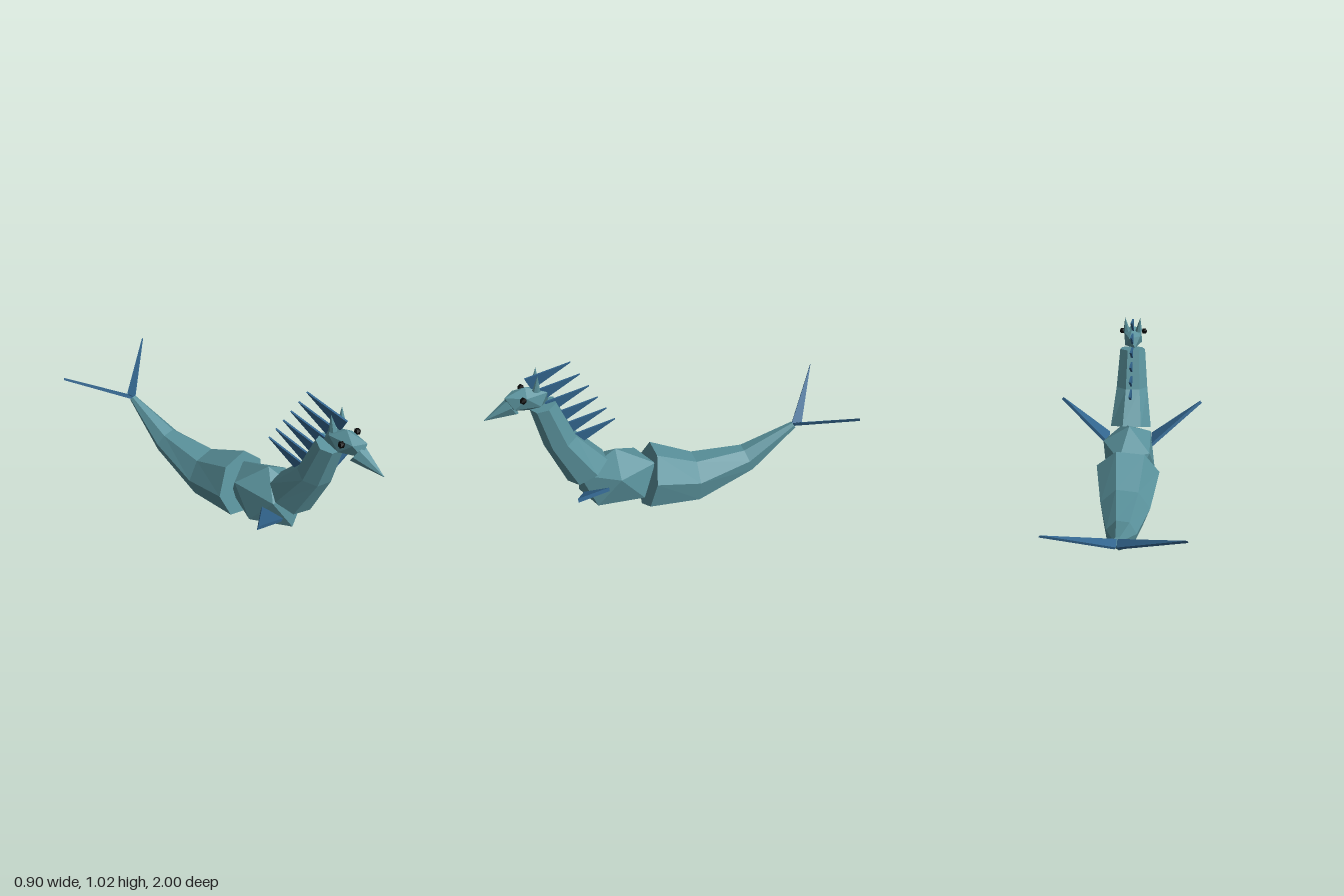
import * as THREE from 'three';
import { ConvexGeometry } from 'three/addons/geometries/ConvexGeometry.js';

const V = (x, y, z) => new THREE.Vector3(x, y, z);

// Seven-sided loft; each ring is [y, z, half width, dy, dz], (dy, dz) reaching from centre to underside
function loft(rings) {
  const N = 7, pos = [], index = [];
  for (const [y, z, rx, dy, dz] of rings) {
    for (let i = 0; i < N; i++) {
      const a = 0.105 + (i / N) * Math.PI * 2;
      pos.push(rx * Math.sin(a), y + dy * Math.cos(a), z + dz * Math.cos(a));
    }
  }
  const last = (rings.length - 1) * N;
  for (let r = 0; r < last; r += N) {
    for (let i = 0; i < N; i++) {
      const j = (i + 1) % N;
      index.push(r + i, r + N + i, r + j, r + j, r + N + i, r + N + j);
    }
  }
  // End caps
  for (let i = 1; i < N - 1; i++) {
    index.push(0, i, i + 1, last, last + i + 1, last + i);
  }
  const g = new THREE.BufferGeometry();
  g.setAttribute('position', new THREE.Float32BufferAttribute(pos, 3));
  g.setIndex(index);
  const flat = g.toNonIndexed();
  flat.computeVertexNormals();
  return flat;
}

// Stretched icosahedron standing on a vertex: apex height ry, five-point rings rx by rz
function ball(y, z, rx, ry, rz) {
  const pts = [V(0, y + ry, z), V(0, y - ry, z)];
  for (let i = 0; i < 5; i++) {
    const a = Math.PI * (0.1 + 0.4 * i);
    const dx = rx * Math.sin(a), dy = 0.447 * ry, dz = -rz * Math.cos(a);
    pts.push(V(dx, y + dy, z + dz), V(-dx, y - dy, z - dz));
  }
  return new ConvexGeometry(pts);
}

// Thin triangular plate
function plate(a, b, c, thickness) {
  const n = b.clone().sub(a).cross(c.clone().sub(a)).setLength(thickness / 2);
  return new ConvexGeometry([a, b, c].flatMap((p) => [p.clone().add(n), p.clone().sub(n)]));
}

export function createModel() {
  const model = new THREE.Group();
  model.name = 'seaSerpent';
  const material = (name, color) => {
    const m = new THREE.MeshStandardMaterial({ color });
    m.name = name;
    m.flatShading = true;
    return m;
  };
  const skin = material('tealSkin', 0x5a929c);
  const fin = material('blueFin', 0x33668f);
  const black = material('eyeBlack', 0x050505);
  const add = (name, geometry, mat) => {
    const mesh = new THREE.Mesh(geometry, mat);
    mesh.name = name;
    model.add(mesh);
    return mesh;
  };

  // Body
  add('chest', ball(0.245, 0.32, 0.16, 0.195, 0.23), skin);
  add('tail', loft([
    [0.215, 0.135, 0.195, -0.19, 0.045],
    [0.15, -0.15, 0.148, -0.15, 0],
    [0.228, -0.48, 0.085, -0.078, -0.032],
    [0.415, -0.765, 0.022, -0.018, -0.012],
  ]), skin);
  add('neck', loft([
    [0.795, 0.69, 0.08, -0.015, 0.072],
    [0.565, 0.62, 0.1, -0.02, 0.092],
    [0.345, 0.485, 0.13, -0.065, 0.118],
  ]), skin);

  // Head
  add('head', ball(0.842, 0.77, 0.058, 0.07, 0.115), skin);
  add('beak', loft([
    [0.745, 1, 0.001, -0.001, 0],
    [0.81, 0.845, 0.052, -0.047, -0.025],
  ]), skin);

  // Crest of six spikes down the back of the neck
  for (let i = 0; i < 6; i++) {
    const y = -0.0765 * i, z = -0.043 * i;
    add('crestSpike', plate(V(0, 0.96 + y, 0.768 + z), V(0, 0.893 + y, 0.738 + z),
      V(0, 1.024 + y, 0.527 + z), 0.012), fin);
  }

  // Paired parts
  for (const [side, s] of [['left', 1], ['right', -1]]) {
    const ear = add(side + 'Ear', new THREE.ConeGeometry(0.022, 0.092, 7), skin);
    ear.position.set(s * 0.042, 0.949, 0.71);
    ear.rotation.set(-0.15, 0, -s * 0.1);

    const eye = add(side + 'Eye', new THREE.IcosahedronGeometry(0.019, 0), black);
    eye.position.set(s * 0.07, 0.873, 0.79);

    add(side + 'FrontFin', plate(V(s * 0.14, 0.27, 0.53), V(s * 0.14, 0.27, 0.388),
      V(s * 0.445, 0.478, 0.597), 0.02), fin);
    add(side + 'TailFluke', plate(V(s * 0.005, 0.417, -0.755), V(s * 0.005, 0.417, -0.82),
      V(s * 0.328, 0.617, -1), 0.014), fin);
  }
  return model;
}
